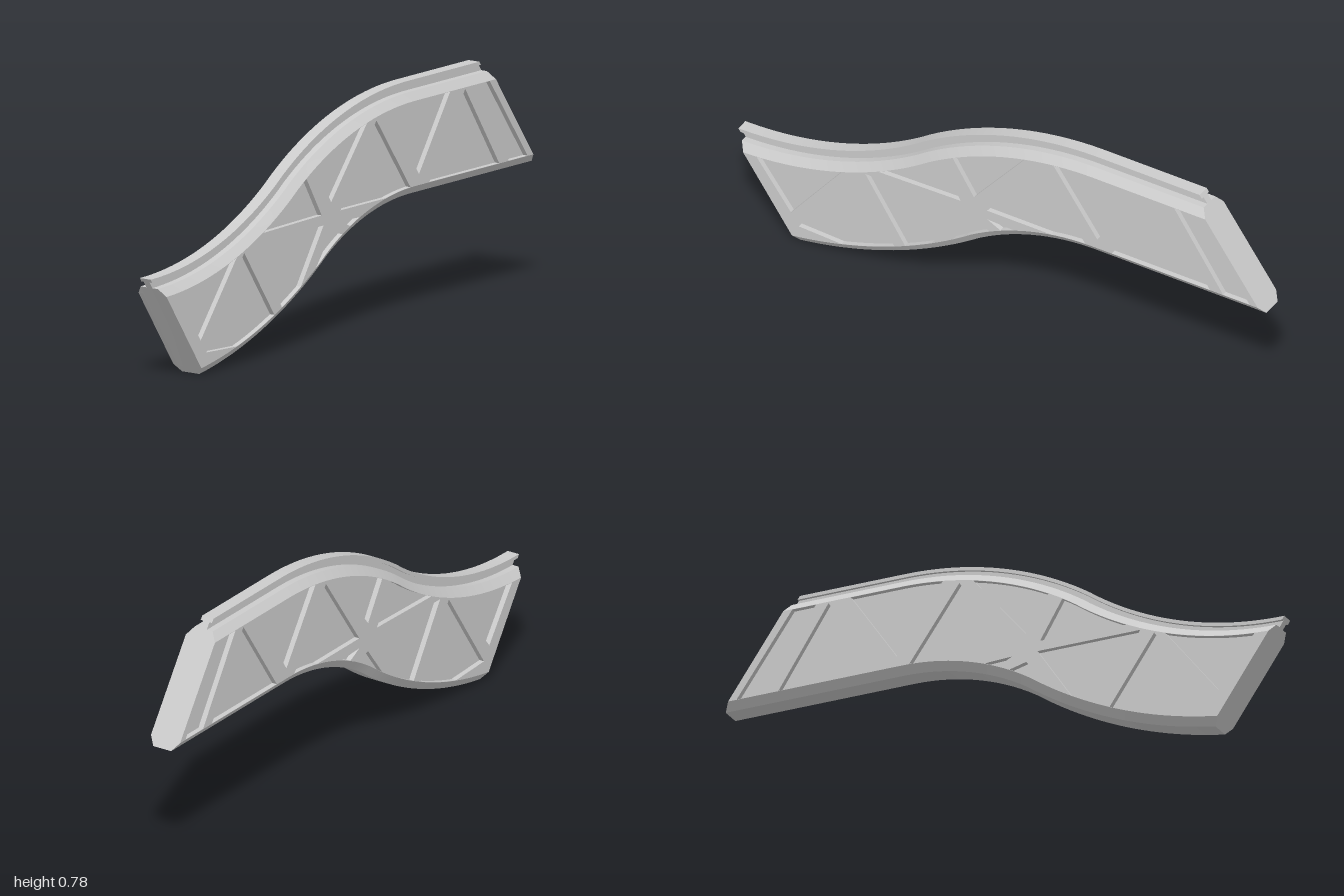
import * as THREE from 'three';
import { toCreasedNormals } from 'three/addons/utils/BufferGeometryUtils.js';

// The top line is an S of two equal arcs and a straight; everything is offset from it by a depth d.
const R = 1.189, BEND = 0.609, N = 60;
const HALF = 0.057, WEB = 0.039, TOP = 0.06, BOTTOM = 0.341;

function heightAt(x, d) {
  if (x < -0.32 + d * Math.sin(BEND)) return 1.541 - Math.sqrt((R + d) ** 2 - (x + 1) ** 2);
  if (x < 0.36) return -0.409 + Math.sqrt((R - d) ** 2 - (x - 0.36) ** 2);
  return 0.78 - d;
}

// Line at depth d between the two slanted ends
function level(d) {
  const left = -1 + 0.655 * d, right = 0.74 + 0.706 * d;
  return Array.from({ length: N + 1 }, (_, i) => {
    const x = left + (right - left) * i / N;
    return new THREE.Vector2(x, heightAt(x, d));
  });
}

// Sweeps a symmetric half section of [z, d] points along the line, with end caps
function sweep(half) {
  const section = [...half, ...half.slice().reverse().map(([z, d]) => [-z, d])];
  const rows = section.map(([z, d]) => level(d).map(p => [p.x, p.y, z]));
  const pos = [];
  const tri = (a, b, c) => pos.push(...a, ...b, ...c);
  rows.forEach((a, j) => {
    const b = rows[(j + 1) % rows.length];
    for (let i = 0; i < N; i++) {
      tri(a[i], b[i], b[i + 1]);
      tri(a[i], b[i + 1], a[i + 1]);
    }
  });
  const contour = section.map(([z, d]) => new THREE.Vector2(z, d));
  for (const [a, b, c] of THREE.ShapeUtils.triangulateShape(contour, [])) {
    tri(rows[a][N], rows[b][N], rows[c][N]);
    tri(rows[a][0], rows[c][0], rows[b][0]);
  }
  const geo = new THREE.BufferGeometry();
  geo.setAttribute('position', new THREE.Float32BufferAttribute(pos, 3));
  return toCreasedNormals(geo, 0.4);
}

// Pocket corners [x, y]; UP and DOWN stand for the upper and lower chord
const UP = 9, DOWN = -9;
const pockets = [
  [[-0.91, UP], [-0.59, UP], [-0.78, 0.12]],
  [[-0.55, 0.37], [-0.75, 0.075], [-0.59, DOWN], [-0.39, DOWN]],
  [[-0.5, 0.39], [-0.35, DOWN], [-0.25, DOWN], [-0.13, 0.39]],
  [[-0.45, UP], [-0.14, 0.425], [-0.22, UP]],
  [[-0.17, UP], [-0.09, 0.46], [0.1, UP]],
  [[-0.04, 0.425], [0.15, 0.69], [0.33, DOWN], [0.2, DOWN]],
  [[-0.04, 0.39], [0.06, DOWN], [0.01, DOWN]],
  [[-0.09, 0.36], [-0.17, DOWN], [-0.03, DOWN]],
  [[0.21, UP], [0.375, 0.475], [0.54, UP]],
  [[0.62, 0.715], [0.43, DOWN], [0.8, DOWN]],
  [[0.665, UP], [0.75, UP], [0.95, DOWN], [0.85, DOWN]],
];

function pocketPath(corners) {
  const onChord = (x, y) => new THREE.Vector2(x,
    THREE.MathUtils.clamp(y, heightAt(x, BOTTOM - 0.001), heightAt(x, TOP + 0.001)));
  const pts = [];
  corners.forEach(([x, y], i) => {
    const [x2, y2] = corners[(i + 1) % corners.length];
    // Edges along a chord follow its curve, all others are straight
    const steps = y === y2 && Math.abs(y) === UP ? 14 : 1;
    for (let k = 0; k < steps; k++) pts.push(onChord(x + (x2 - x) * k / steps, y));
  });
  return new THREE.Path(pts);
}

export function createModel() {
  const model = new THREE.Group();
  const material = new THREE.MeshStandardMaterial({ color: 0xcccccc });
  const add = (name, geo, z = 0) => {
    const mesh = new THREE.Mesh(geo, material);
    mesh.name = name;
    mesh.position.set(0, -0.003, z);
    model.add(mesh);
  };

  // Bevelled chords, recessed web and T-shaped rail in one section
  add('beamAndRail', sweep([
    [0.022, 0], [0.022, 0.012], [0.012, 0.012], [0.012, 0.033],
    [0.035, 0.033], [HALF, TOP], [WEB, TOP],
    [WEB, BOTTOM], [HALF, BOTTOM], [0.035, 0.368],
  ]));

  // Truss ribs on both sides
  const face = new THREE.Shape([...level(BOTTOM), ...level(TOP).reverse()]);
  face.holes = pockets.map(pocketPath);
  const ribs = new THREE.ExtrudeGeometry(face, { depth: HALF - WEB, bevelEnabled: false });
  add('leftSideRibs', ribs, WEB);
  add('rightSideRibs', ribs, -HALF);
  return model;
}
